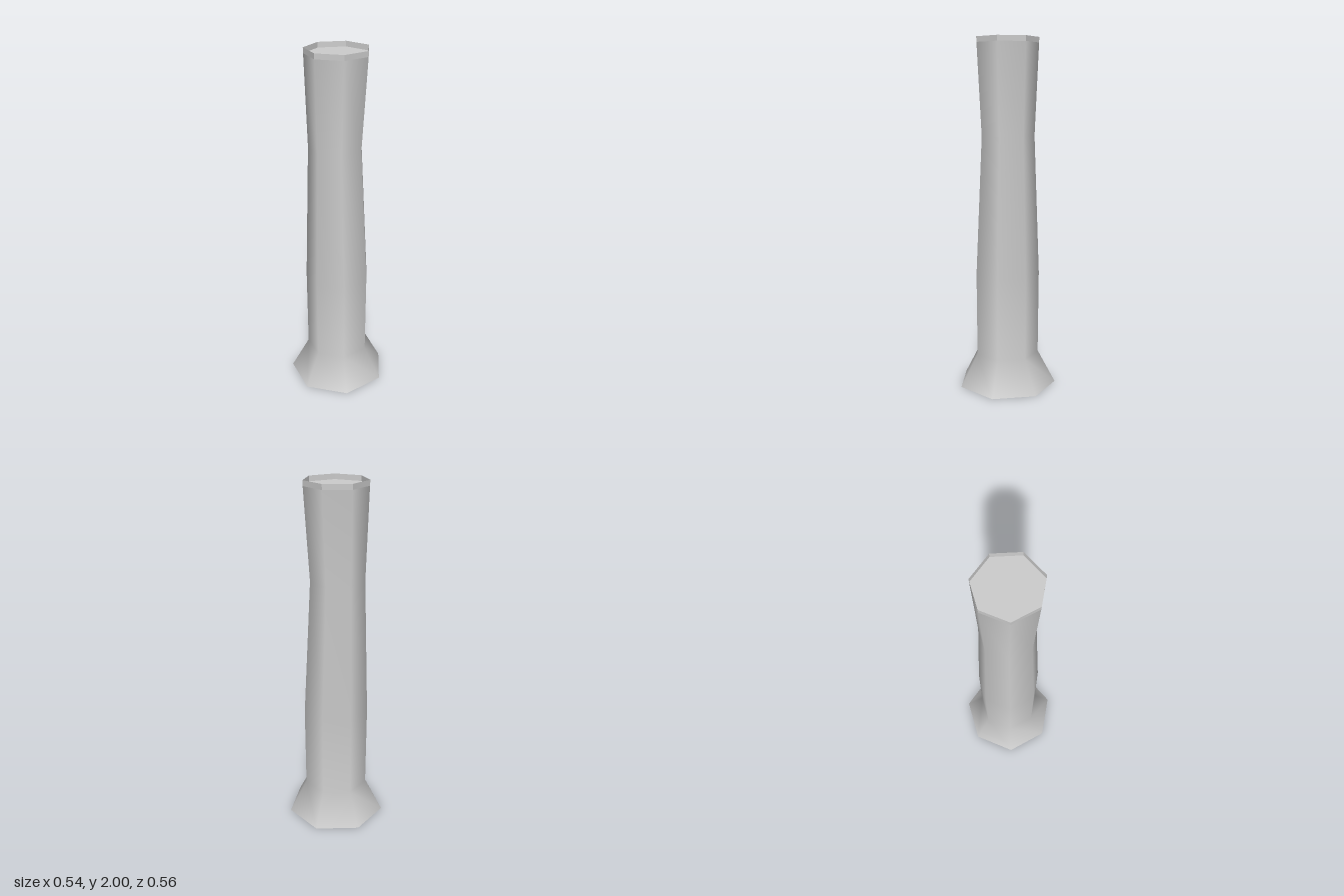
import * as THREE from 'three';

const SIDES = 7;
const FLOOR = 1.97; // height of the recessed top face

// Rings from bottom to top: [height, radius, x offset of the centre]
const RINGS = [
  [0, 0.286, -0.016],
  [0.19, 0.184, -0.015],
  [0.67, 0.187, -0.015],
  [1.46, 0.154, -0.026],
  [FLOOR, 0.178, -0.016],
];
const TOP_X = -0.016;

// Seven-sided tube through the rings, with a corner pointing to +x
function tube(rings) {
  const profile = rings.map(([y, r]) => new THREE.Vector2(r, y));
  const geo = new THREE.LatheGeometry(profile, SIDES, Math.PI / 2);
  const pos = geo.attributes.position;
  for (let i = 0; i < pos.count; i++) {
    pos.setX(i, pos.getX(i) + rings[i % rings.length][2]);
  }
  return geo;
}

// Flat seven-sided cap facing up or down
function cap(radius, x, y, up) {
  const geo = new THREE.CircleGeometry(radius, SIDES);
  geo.rotateX(up ? -Math.PI / 2 : Math.PI / 2);
  return geo.translate(x, y, 0);
}

export function createModel() {
  const group = new THREE.Group();
  group.name = 'column';
  const smooth = new THREE.MeshStandardMaterial({ color: 0xcccccc });
  const flat = new THREE.MeshStandardMaterial({
    color: 0xcccccc, flatShading: true, side: THREE.DoubleSide,
  });

  const add = (name, geometry, material) => {
    const mesh = new THREE.Mesh(geometry, material);
    mesh.name = name;
    group.add(mesh);
  };

  // Flared foot and waisted shaft in one smooth skin
  add('shaft', tube(RINGS), smooth);

  // Thin upright rim around the recessed top
  add('rim', tube([[FLOOR, 0.178, TOP_X], [2, 0.179, TOP_X]]), flat);

  // Recessed top face and underside
  add('topFace', cap(0.178, TOP_X, FLOOR, true), smooth);
  add('underside', cap(RINGS[0][1], RINGS[0][2], 0, false), smooth);

  return group;
}
